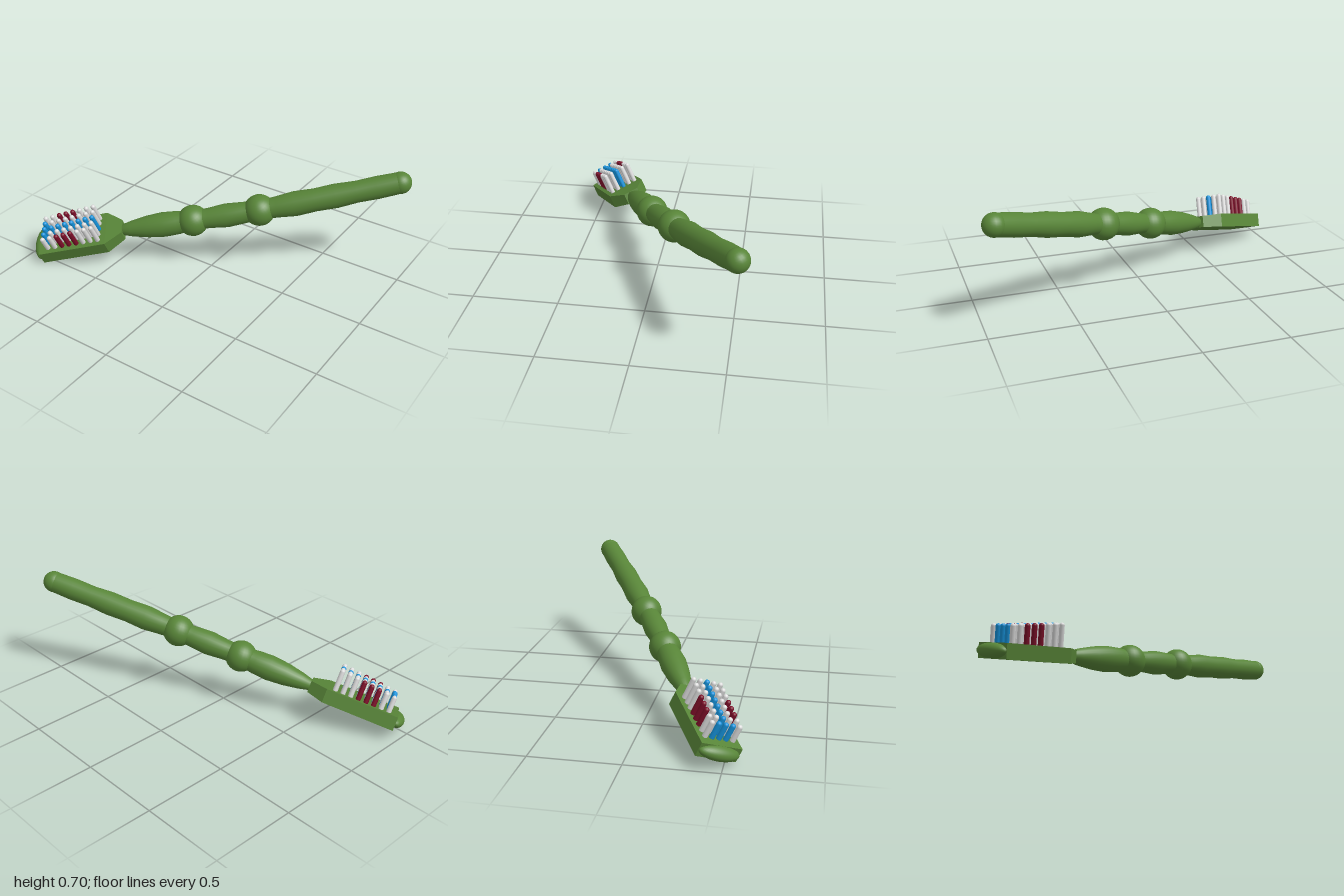
import * as THREE from 'three';

const mat = (name, color) => {
  const m = new THREE.MeshStandardMaterial({ color });
  m.name = name;
  return m;
};

export function createModel() {
  const green = mat('green plastic', 0x588538);
  const white = mat('white bristle', 0xdcdcdc);
  const blue = mat('blue bristle', 0x1593dc);
  const red = mat('dark red bristle', 0x7c0d28);

  // Brush frame: x runs from head to handle tip, y along the bristles, z across
  const brush = new THREE.Group();
  brush.name = 'toothbrush';
  const add = (name, geo, material, x = 0, y = 0, z = 0) => {
    const m = new THREE.Mesh(geo, material);
    m.name = name;
    m.position.set(x, y, z);
    brush.add(m);
    return m;
  };

  // Head block with a rounded nose
  const L = 0.425, H = 0.083, W = 0.24;
  add('head', new THREE.BoxGeometry(L, H, W), green, L / 2);
  add('headNose', new THREE.SphereGeometry(1, 32, 20), green).scale.set(0.05, 0.041, 0.118);

  // Neck: block narrowing towards the handle
  const neck = new THREE.BoxGeometry(0.1, H, W);
  const np = neck.attributes.position;
  for (let i = 0; i < np.count; i++) {
    if (np.getX(i) > 0) np.setXYZ(i, np.getX(i), np.getY(i) * 0.85, np.getZ(i) * 0.4);
  }
  neck.computeVertexNormals();
  add('neck', neck, green, L + 0.05);

  // Wavy handle, bowed slightly sideways
  const bow = (s) => 0.025 * Math.sin((Math.PI * (s - 0.5)) / 1.69);
  const profile = [
    [0.47, 0], [0.5, 0.027], [0.58, 0.048], [0.68, 0.066], [0.78, 0.075], [0.87, 0.07], [0.97, 0.056],
    [1.07, 0.061], [1.17, 0.071], [1.27, 0.064], [1.38, 0.056], [1.48, 0.063], [1.58, 0.073],
    [1.7, 0.067], [1.82, 0.071], [1.94, 0.063], [2.06, 0.066], [2.19, 0.062],
  ].map(([s, r]) => new THREE.Vector2(r, s));
  const handle = new THREE.LatheGeometry(profile, 24).rotateZ(-Math.PI / 2);
  const hp = handle.attributes.position;
  for (let i = 0; i < hp.count; i++) hp.setZ(i, hp.getZ(i) + bow(hp.getX(i)));
  add('handle', handle, green);
  add('handleTip', new THREE.SphereGeometry(0.064, 24, 16), green, 2.19);

  // Grip knobs
  for (const s of [0.965, 1.37]) {
    add('gripKnob', new THREE.SphereGeometry(0.093, 28, 18), green, s, 0, bow(s));
  }

  // Five rows of eight round-tipped bristles, longer towards the handle
  const r = 0.0145, base = 0.03;
  for (let row = 0; row < 5; row++) {
    for (let col = 0; col < 8; col++) {
      const outer = row === 0 || row === 4;
      let material = white;
      if (outer && col >= 2 && col <= 4) material = red;
      if (row === 2 || (!outer && col === 0)) material = blue;
      const top = 0.143 + col * 0.0045;
      const len = top - base;
      add('bristle', new THREE.CapsuleGeometry(r, len - 2 * r, 5, 12), material,
        0.058 + col * 0.046, base + len / 2, (row - 2) * 0.041);
    }
  }

  // Lean the whole brush: head low at the front right, tip high at the back left
  const u = new THREE.Vector3(0.851, 0.255, -0.458).normalize();
  const w = new THREE.Vector3(0.522, -0.328, 0.787);
  w.addScaledVector(u, -w.dot(u)).normalize();
  const v = new THREE.Vector3().crossVectors(w, u);
  brush.quaternion.setFromRotationMatrix(new THREE.Matrix4().makeBasis(u, v, w));
  brush.position.set(-0.929, 0.082, 0.478);

  const model = new THREE.Group();
  model.name = 'model';
  model.add(brush);
  return model;
}
